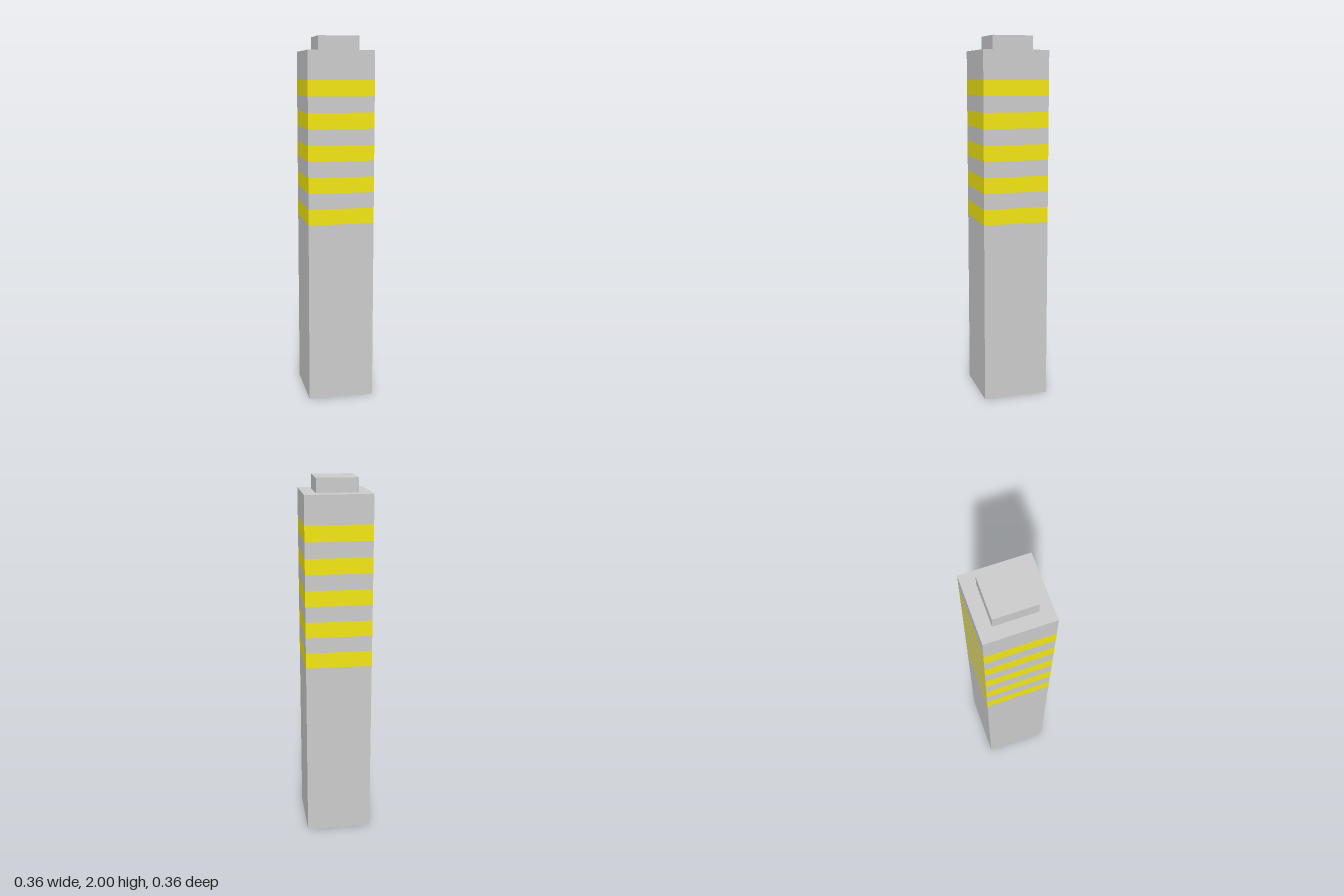
import * as THREE from 'three';

const HALF = 0.181, CAP_HALF = 0.112, BODY_TOP = 1.923, TOP = 2;
const STRIPE_START = 0.995, STRIPE = 0.086, STRIPES = 5;

const grey = new THREE.MeshStandardMaterial({ color: 0xcccccc, flatShading: true });
const yellow = new THREE.MeshStandardMaterial({ color: 0xf2e614, flatShading: true });

export function createModel() {
  const group = new THREE.Group();

  const add = (name, geometry, material = grey) => {
    const mesh = new THREE.Mesh(geometry, material);
    mesh.name = name;
    group.add(mesh);
  };

  // Four upright walls of a square section, open at both ends
  const walls = (half, y0, y1) => {
    const r = half * Math.SQRT2;
    return new THREE.CylinderGeometry(r, r, y1 - y0, 4, 1, true)
      .rotateY(Math.PI / 4)
      .translate(0, (y0 + y1) / 2, 0);
  };

  const square = (half, Type = THREE.Shape) => new Type([
    new THREE.Vector2(-half, -half), new THREE.Vector2(half, -half),
    new THREE.Vector2(half, half), new THREE.Vector2(-half, half),
  ]);

  // Base and plain lower post
  add('base', new THREE.ShapeGeometry(square(HALF)).rotateX(Math.PI / 2));
  add('lowerPost', walls(HALF, 0, STRIPE_START));

  // Yellow stripes alternating with grey bands; the last grey band reaches the ledge
  for (let i = 0; i < STRIPES; i++) {
    const y = STRIPE_START + i * 2 * STRIPE;
    const next = i === STRIPES - 1 ? BODY_TOP : y + 2 * STRIPE;
    add(`stripe${i + 1}`, walls(HALF, y, y + STRIPE), yellow);
    add(`band${i + 1}`, walls(HALF, y + STRIPE, next));
  }

  // Ledge around the foot of the cap
  const ledge = square(HALF);
  ledge.holes.push(square(CAP_HALF, THREE.Path));
  add('ledge', new THREE.ShapeGeometry(ledge).rotateX(-Math.PI / 2).translate(0, BODY_TOP, 0));

  // Small square cap
  add('capWalls', walls(CAP_HALF, BODY_TOP, TOP));
  add('capTop', new THREE.ShapeGeometry(square(CAP_HALF)).rotateX(-Math.PI / 2).translate(0, TOP, 0));

  return group;
}
